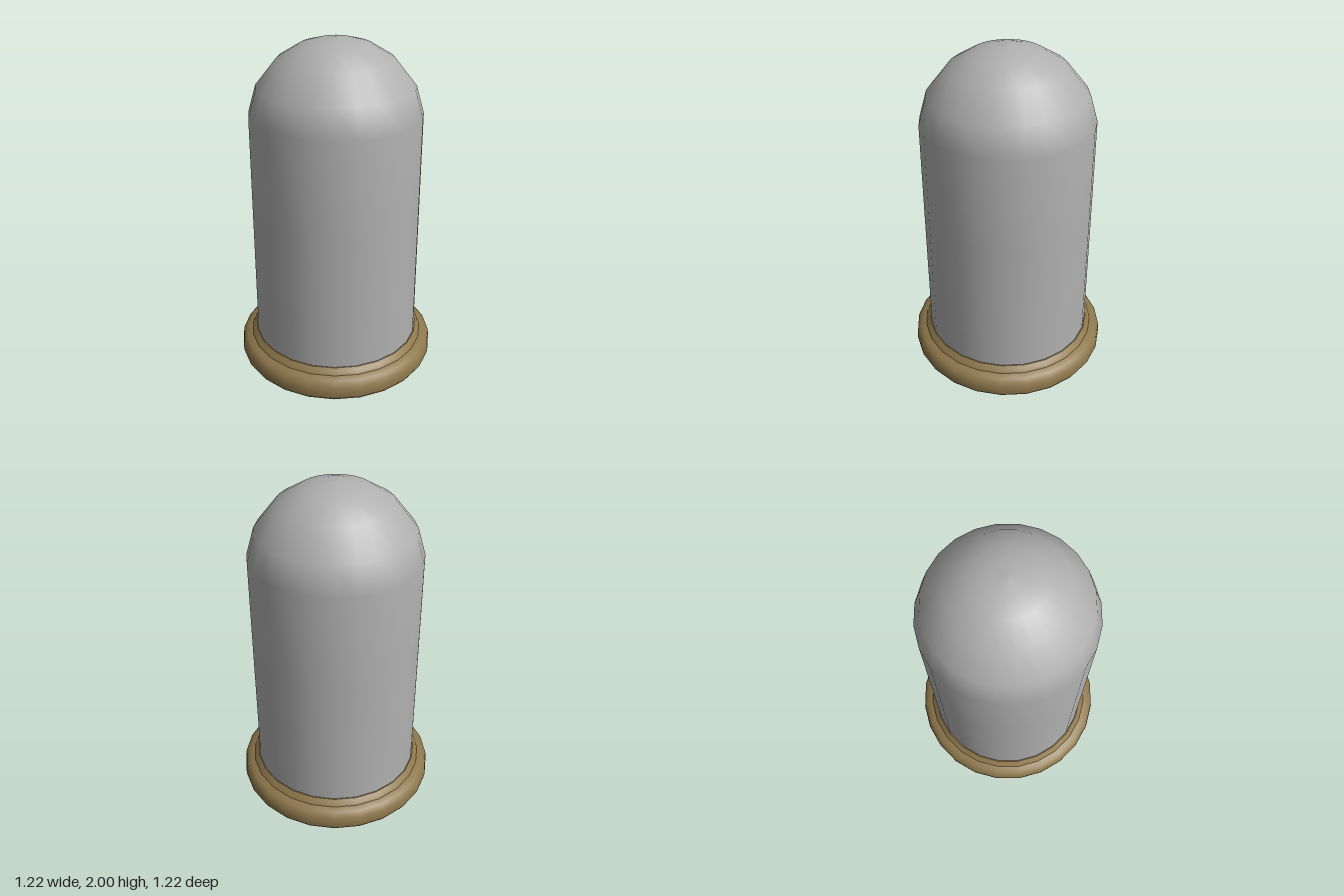
import * as THREE from 'three';

const SEGMENTS = 24;

// Turn a bottom-to-top [radius, height] profile; a repeated point makes a crease.
function turned(name, profile, material) {
  const points = profile.map(([r, y]) => new THREE.Vector2(r, y));
  const mesh = new THREE.Mesh(new THREE.LatheGeometry(points, SEGMENTS), material);
  mesh.name = name;
  return mesh;
}

export function createModel() {
  const wood = new THREE.MeshStandardMaterial({ color: 0x8e774c });
  wood.name = 'brown wood';
  const glass = new THREE.MeshStandardMaterial({ color: 0xb0b0b0, side: THREE.DoubleSide });
  glass.name = 'grey glass';

  const model = new THREE.Group();
  model.name = 'bellJar';

  // Stepped round plinth with a flat underside
  model.add(turned('base', [
    [0, 0], [0.595, 0], [0.595, 0],
    [0.608, 0.022], [0.608, 0.022],
    [0.61, 0.05], [0.605, 0.09], [0.58, 0.118], [0.545, 0.13], [0.545, 0.13],
    [0.538, 0.142], [0.525, 0.153], [0.515, 0.165], [0.515, 0.165],
    [0, 0.165],
  ], wood));

  // Slightly tapering cover with a rounded top
  model.add(turned('dome', [
    [0.509, 0.165], [0.505, 1.0], [0.502, 1.57],
    [0.455, 1.73], [0.33, 1.885], [0.2, 1.963], [0.1, 1.99], [0, 2],
  ], glass));

  return model;
}
